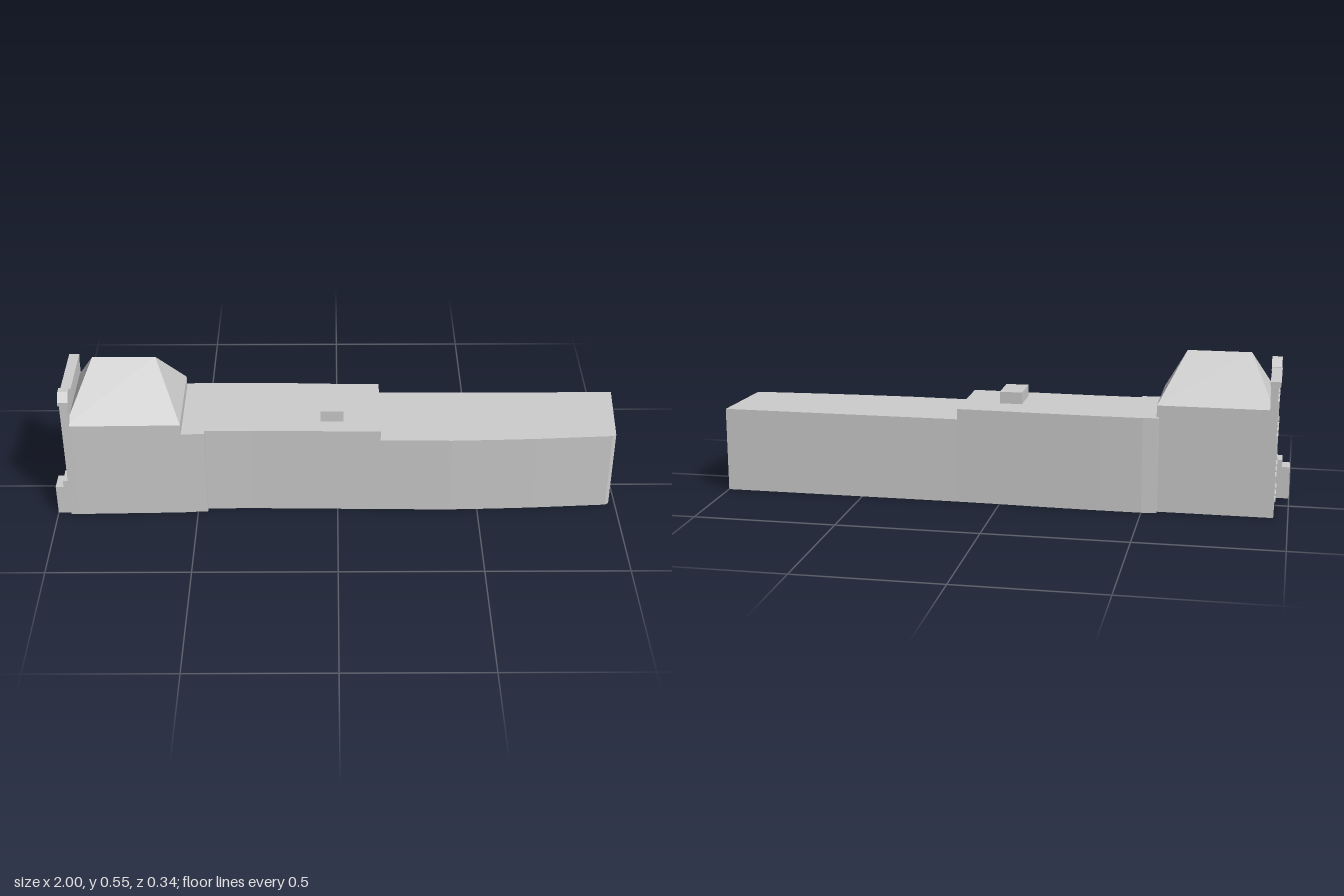
import * as THREE from 'three';
import { ConvexGeometry } from 'three/addons/geometries/ConvexGeometry.js';

export function createModel() {
  const model = new THREE.Group();
  const material = new THREE.MeshStandardMaterial({ color: 0xcccccc, flatShading: true });

  function add(name, geometry) {
    const mesh = new THREE.Mesh(geometry, material);
    mesh.name = name;
    model.add(mesh);
    return mesh;
  }

  // Box given by its minimum and maximum corners
  function box(name, x0, x1, y0, y1, z0, z1) {
    const g = new THREE.BoxGeometry(x1 - x0, y1 - y0, z1 - z0);
    g.translate((x0 + x1) / 2, (y0 + y1) / 2, (z0 + z1) / 2);
    return add(name, g);
  }

  // Footprint of [x, z] corners raised to a height
  function block(name, footprint, height) {
    const shape = new THREE.Shape(footprint.map(([x, z]) => new THREE.Vector2(x, -z)));
    const g = new THREE.ExtrudeGeometry(shape, { depth: height, bevelEnabled: false });
    g.rotateX(-Math.PI / 2);
    return add(name, g);
  }

  // Outline of [z, y] corners running from xBack towards -x, with optional holes
  function panel(name, outline, xBack, depth, holes = []) {
    const toPath = (pts, Type) => new Type(pts.map(([z, y]) => new THREE.Vector2(z, y)));
    const shape = toPath(outline, THREE.Shape);
    shape.holes = holes.map((h) => toPath(h, THREE.Path));
    const g = new THREE.ExtrudeGeometry(shape, { depth, bevelEnabled: false });
    g.rotateY(-Math.PI / 2);
    g.translate(xBack, 0, 0);
    return add(name, g);
  }

  const rect = (z0, z1, y0, y1) => [[z0, y0], [z1, y0], [z1, y1], [z0, y1]];

  // Long wings with gently bending walls
  block('lowWing', [
    [0.15, 0.147], [0.4, 0.15], [0.55, 0.146], [0.7, 0.14], [0.85, 0.131], [0.965, 0.124],
    [0.978, 0.115], [1, -0.16], [0.15, -0.16],
  ], 0.3);
  block('middleWing', [
    [-0.465, 0.14], [-0.3, 0.139], [0, 0.144], [0.15, 0.147], [0.15, -0.16], [0, -0.163],
    [-0.15, -0.168], [-0.35, -0.172], [-0.5, -0.172], [-0.553, -0.166], [-0.553, 0.161], [-0.465, 0.158],
  ], 0.337);
  box('rooftopUnit', -0.06, 0.02, 0.33, 0.379, -0.047, 0.082);

  // Head house with its hipped roof
  block('headHouse', [[-0.94, 0.171], [-0.545, 0.163], [-0.545, -0.15], [-0.94, -0.15]], 0.378);
  add('hippedRoof', new ConvexGeometry([
    [-0.94, 0.378, 0.171], [-0.545, 0.378, 0.165], [-0.545, 0.378, -0.15], [-0.94, 0.378, -0.15],
    [-0.855, 0.547, -0.012], [-0.635, 0.547, -0.012],
  ].map((p) => new THREE.Vector3(...p))));

  // End facade: solid backing with a front layer pierced by windows
  box('facadeBacking', -0.942, -0.926, 0, 0.475, -0.15, 0.172);
  const rows = [[0.06, 0.1], [0.145, 0.22], [0.285, 0.37], [0.405, 0.447]];
  const mainHoles = [];
  for (const z of [-0.11, -0.033, 0.045]) {
    for (const [y0, y1] of rows) mainHoles.push(rect(z - 0.024, z + 0.024, y0, y1));
  }
  panel('mainFacade', rect(-0.15, 0.087, 0, 0.475), -0.942, 0.009, mainHoles);
  const bayHoles = rows.slice(1).map(([y0, y1]) => rect(0.106, 0.154, y0, y1));
  panel('bayFacade', rect(0.09, 0.172, 0, 0.475), -0.942, 0.011, bayHoles);

  // Window bars and sills
  for (const z of [-0.11, -0.033, 0.045, 0.13]) {
    rows.forEach(([y0, y1], i) => {
      if (z > 0.1 && i === 0) return;
      box('windowBar', -0.946, -0.941, (y0 + y1) / 2 - 0.002, (y0 + y1) / 2 + 0.002, z - 0.024, z + 0.024);
      box('windowSill', -0.956, -0.942, y0 - 0.006, y0, z - 0.027, z + 0.027);
    });
  }

  // Cornice and gabled cap over the bay
  box('cornice', -0.96, -0.924, 0.462, 0.476, -0.15, 0.09);
  panel('bayCap', [[0.173, 0.462], [0.173, 0.477], [0.147, 0.504], [0.12, 0.504], [0.092, 0.477], [0.092, 0.462]],
    -0.922, 0.036);

  // Entrance porch
  box('porch', -1, -0.94, 0, 0.115, 0.094, 0.163);
  box('porchUpperStep', -0.972, -0.94, 0.11, 0.14, 0.094, 0.163);

  return model;
}
